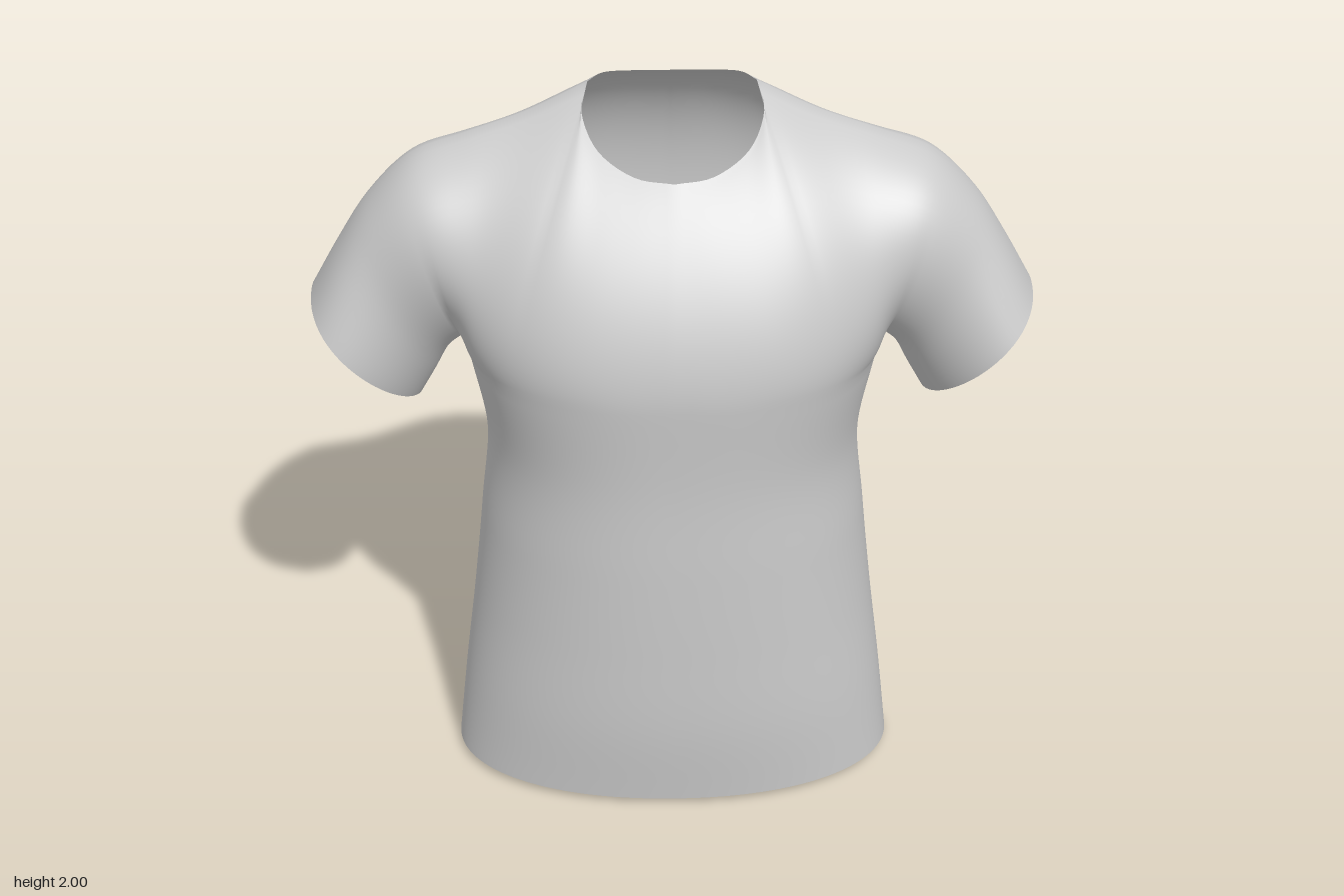
import * as THREE from 'three';
import { mergeGeometries, mergeVertices } from 'three/addons/utils/BufferGeometryUtils.js';

const { lerp } = THREE.MathUtils;
const vec = (r) => new THREE.Vector3(...r);
const spline = (points) => new THREE.CatmullRomCurve3(points, false, 'catmullrom', 0.5);
const curve = (rows) => spline(rows.map(vec));

const CHEST = 1.3; // height of the armpits, where body and yoke join

// Body girth by height, hem to armpit: half width, front depth, back depth
const girth = curve([
  [0.612, 0.34, -0.38], [0.583, 0.37, -0.382], [0.55, 0.38, -0.38],
  [0.522, 0.385, -0.375], [0.5, 0.387, -0.375], [0.545, 0.405, -0.39],
]);

// Seam lines of the left half: over the shoulder, and under the sleeve
const shoulder = curve([
  [0.95, 1.42, -0.08], [0.87, 1.565, -0.07], [0.785, 1.7, -0.065], [0.67, 1.815, -0.06],
  [0.53, 1.87, -0.06], [0.37, 1.925, -0.07], [0.215, 1.995, -0.09],
]);
const underarm = curve([[0.67, 1.11, -0.09], [0.627, 1.19, -0.085], [0.588, 1.268, -0.08], [0.545, CHEST, -0.08]]);

// Neck rim, and the bulge of each section at its lower and upper end,
// listed from cuff to centre line
const FRONT = {
  sign: 1,
  rim: curve([[0.215, 1.995, -0.09], [0.23, 1.95, 0], [0.19, 1.885, 0.09], [0.1, 1.84, 0.15], [0, 1.83, 0.17]]),
  low: [[0, 0, 0.2], [0, 0, 0.25], [0, 0.03, 0.3], [0.02, 0.12, 0.15], [0.01, 0.19, 0.06], [0, 0.2, 0.03], [0, 0.2, 0.015]],
  high: [[0, 0, 0.41], [0, 0, 0.31], [0, -0.03, 0.34], [0.02, -0.1, 0.31], [0.085, -0.17, 0.36], [-0.03, -0.14, 0.19], [0, -0.13, 0.125]],
};
const BACK = {
  sign: -1,
  rim: curve([[0.215, 1.995, -0.09], [0.175, 1.997, -0.14], [0.1, 1.985, -0.178], [0, 1.98, -0.19]]),
  low: [[0, 0, -0.19], [0, 0, -0.22], [0, 0.03, -0.25], [0.02, 0.12, -0.14], [0.01, 0.22, -0.07], [0, 0.24, -0.04], [0, 0.25, -0.03]],
  high: [[0, 0, -0.25], [0, 0, -0.23], [0, -0.03, -0.27], [0.02, -0.08, -0.28], [0.085, -0.14, -0.32], [0.02, -0.14, -0.265], [0, -0.14, -0.235]],
};

// Point on the body; angle 0 is the side seam, PI / 2 the centre line
function bodyPoint(panel, y, angle) {
  const t = y / CHEST;
  const g = girth.getPoint(t);
  // The back tapers towards the sides near the hem, the front stays full
  const power = lerp(panel.sign > 0 ? 0.94 : 1.2, 0.8, t * t);
  const x = g.x * Math.pow(Math.max(Math.cos(angle), 0), power);
  const side = -0.08 * t;
  let z = lerp(side, panel.sign > 0 ? g.y : g.z, Math.pow(Math.sin(angle), power));
  if (panel.sign < 0) {
    // U-shaped drape fold across the back, sharper above than below
    const d = y - (0.51 + 2.6 * x * x);
    const width = (d > 0 ? 0.11 : 0.15) * (1 + 1.5 * x);
    z += 0.048 * Math.sin(angle) * Math.exp(-(d * d) / (width * width));
  }
  return new THREE.Vector3(x, y, z);
}

// Sections run from s = 0 (cuff) over 1 (armpit) and 2 (neck side) to 3 (centre line)
const seamAngle = (s) => (s - 1) * Math.PI / 4;
const lowerEdge = (panel, s) => (s <= 1 ? underarm.getPoint(s) : bodyPoint(panel, CHEST, seamAngle(s)));
const upperEdge = (panel, s) => (s <= 2 ? shoulder.getPoint(s / 2) : panel.rim.getPoint(Math.min(s - 2, 1)));

// Lower body, from hem to armpit
const body = (panel) => (u, v) => {
  const angle = seamAngle(1 + 2 * u);
  const hem = panel.sign > 0 ? 0.02 : 0.02 * (1 - Math.sin(angle));
  return bodyPoint(panel, lerp(hem, CHEST, v), angle);
};

// Sleeve, shoulder and chest: curved sections swept from cuff to centre line
function yoke(panel) {
  const low = spline(panel.low.map((r, i) => vec(r).add(lowerEdge(panel, i / 2))));
  const high = spline(panel.high.map((r, i) => vec(r).add(upperEdge(panel, i / 2))));
  return (u, v) => new THREE.CubicBezierCurve3(
    lowerEdge(panel, u * 3), low.getPoint(u), high.getPoint(u), upperEdge(panel, u * 3),
  ).getPoint(v);
}

// Grid of points; side = -1 mirrors it to the right half
function sheet(point, nu, nv, panel, side) {
  const positions = [];
  const index = [];
  for (let i = 0; i <= nu; i++) {
    for (let j = 0; j <= nv; j++) {
      const p = point(i / nu, j / nv);
      positions.push(p.x * side, p.y, p.z);
      if (i === nu || j === nv) continue;
      const a = i * (nv + 1) + j;
      const b = a + nv + 1;
      if (panel.sign * side > 0) index.push(a, a + 1, b, b, a + 1, b + 1);
      else index.push(a, b, a + 1, b, b + 1, a + 1);
    }
  }
  const geometry = new THREE.BufferGeometry();
  geometry.setAttribute('position', new THREE.Float32BufferAttribute(positions, 3));
  geometry.setIndex(index);
  return geometry;
}

export function createModel() {
  const sheets = [];
  for (const panel of [FRONT, BACK]) {
    for (const side of [1, -1]) {
      sheets.push(sheet(yoke(panel), 60, 28, panel, side));
      sheets.push(sheet(body(panel), 40, 40, panel, side));
    }
  }
  // Join the panels so the shading runs smoothly over the seams
  const geometry = mergeVertices(mergeGeometries(sheets), 1e-4);
  geometry.computeVertexNormals();

  const shirt = new THREE.Mesh(geometry, new THREE.MeshStandardMaterial({ color: 0xcccccc, side: THREE.DoubleSide }));
  shirt.name = 'shirt';
  const group = new THREE.Group();
  group.name = 'shortSleevedShirt';
  group.add(shirt);
  return group;
}
